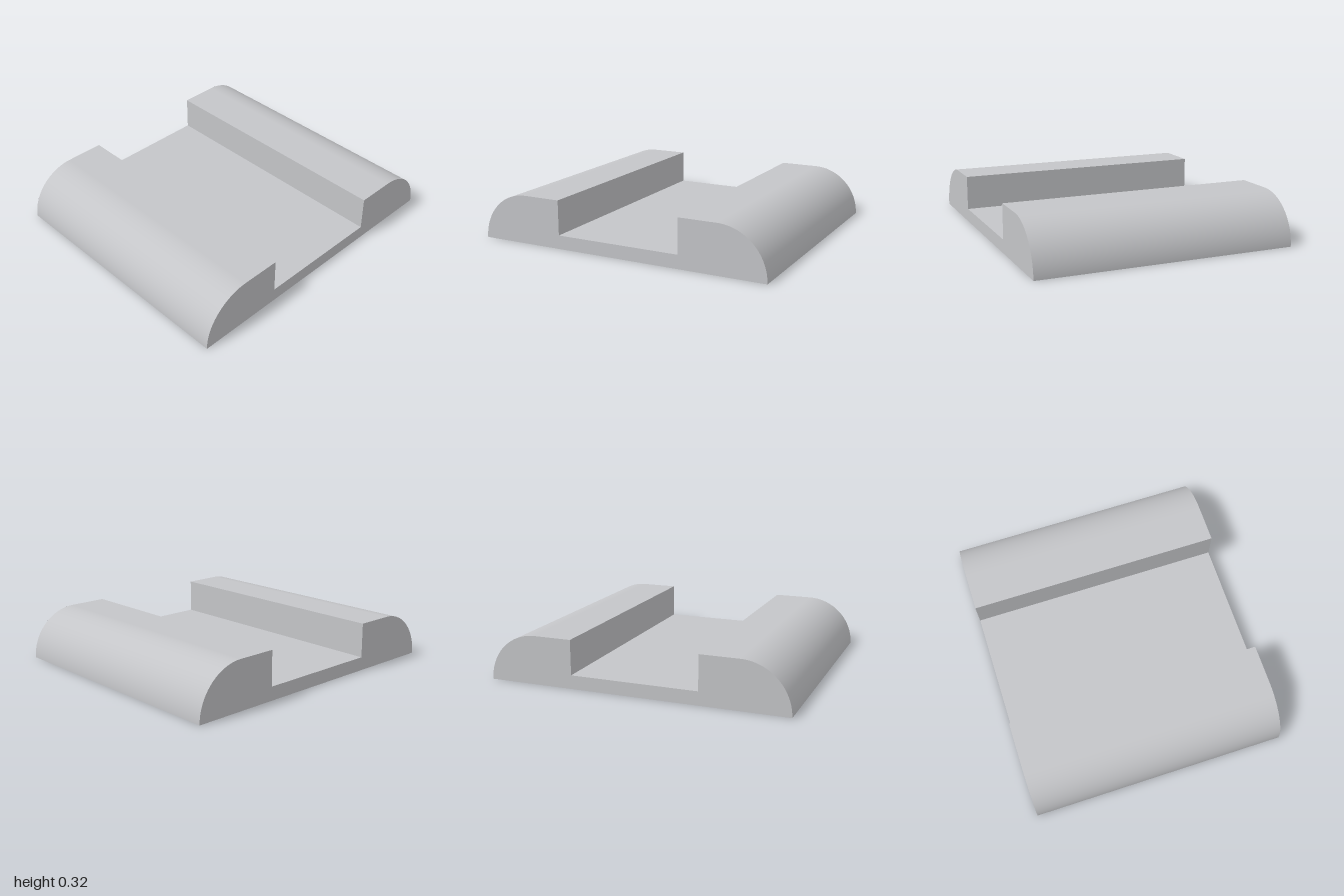
import * as THREE from 'three';

const LENGTH = 1.72;   // along x
const HEIGHT = 0.32;   // top of the rails, also the radius of the rounding
const FLOOR = 0.09;    // channel floor
const CHANNEL = 0.425; // half width of the channel
const ARC_Z = 1 - HEIGHT;

export function createModel() {
  const model = new THREE.Group();
  model.name = 'channelBlock';

  const grey = new THREE.MeshStandardMaterial({ color: 0xc4c5c8, side: THREE.DoubleSide });
  grey.name = 'light grey';

  const add = (name, geometry, parent) => {
    const mesh = new THREE.Mesh(geometry, grey);
    mesh.name = name;
    parent.add(mesh);
  };

  // Channel floor; the block is a thin shell, open underneath
  add('channelFloor', new THREE.PlaneGeometry(LENGTH, 2 * CHANNEL)
    .rotateX(-Math.PI / 2).translate(0, FLOOR, 0), model);

  // Full cross-section: x of the shape runs across the channel
  const profile = new THREE.Shape();
  profile.moveTo(-1, 0);
  profile.lineTo(1, 0);
  profile.absarc(ARC_Z, 0, HEIGHT, 0, Math.PI / 2, false);
  profile.lineTo(CHANNEL, HEIGHT);
  profile.lineTo(CHANNEL, FLOOR);
  profile.lineTo(-CHANNEL, FLOOR);
  profile.lineTo(-CHANNEL, HEIGHT);
  profile.lineTo(-ARC_Z, HEIGHT);
  profile.absarc(-ARC_Z, 0, HEIGHT, Math.PI / 2, Math.PI, false);

  for (const side of [1, -1]) {
    // Rail: rounded outside, flat top, upright channel wall
    const rail = new THREE.Group();
    rail.name = side > 0 ? 'frontRail' : 'backRail';
    rail.rotation.y = side > 0 ? 0 : Math.PI;
    add('roundedSide', new THREE.CylinderGeometry(HEIGHT, HEIGHT, LENGTH, 32, 1, true, 0, Math.PI / 2)
      .rotateZ(Math.PI / 2).translate(0, 0, ARC_Z), rail);
    add('railTop', new THREE.PlaneGeometry(LENGTH, ARC_Z - CHANNEL)
      .rotateX(-Math.PI / 2).translate(0, HEIGHT, (ARC_Z + CHANNEL) / 2), rail);
    add('channelWall', new THREE.PlaneGeometry(LENGTH, HEIGHT - FLOOR)
      .rotateY(Math.PI).translate(0, (HEIGHT + FLOOR) / 2, CHANNEL), rail);
    model.add(rail);

    // End plate
    add(side > 0 ? 'leftEnd' : 'rightEnd', new THREE.ShapeGeometry(profile, 32)
      .rotateY(side * Math.PI / 2).translate(side * LENGTH / 2, 0, 0), model);
  }

  return model;
}
